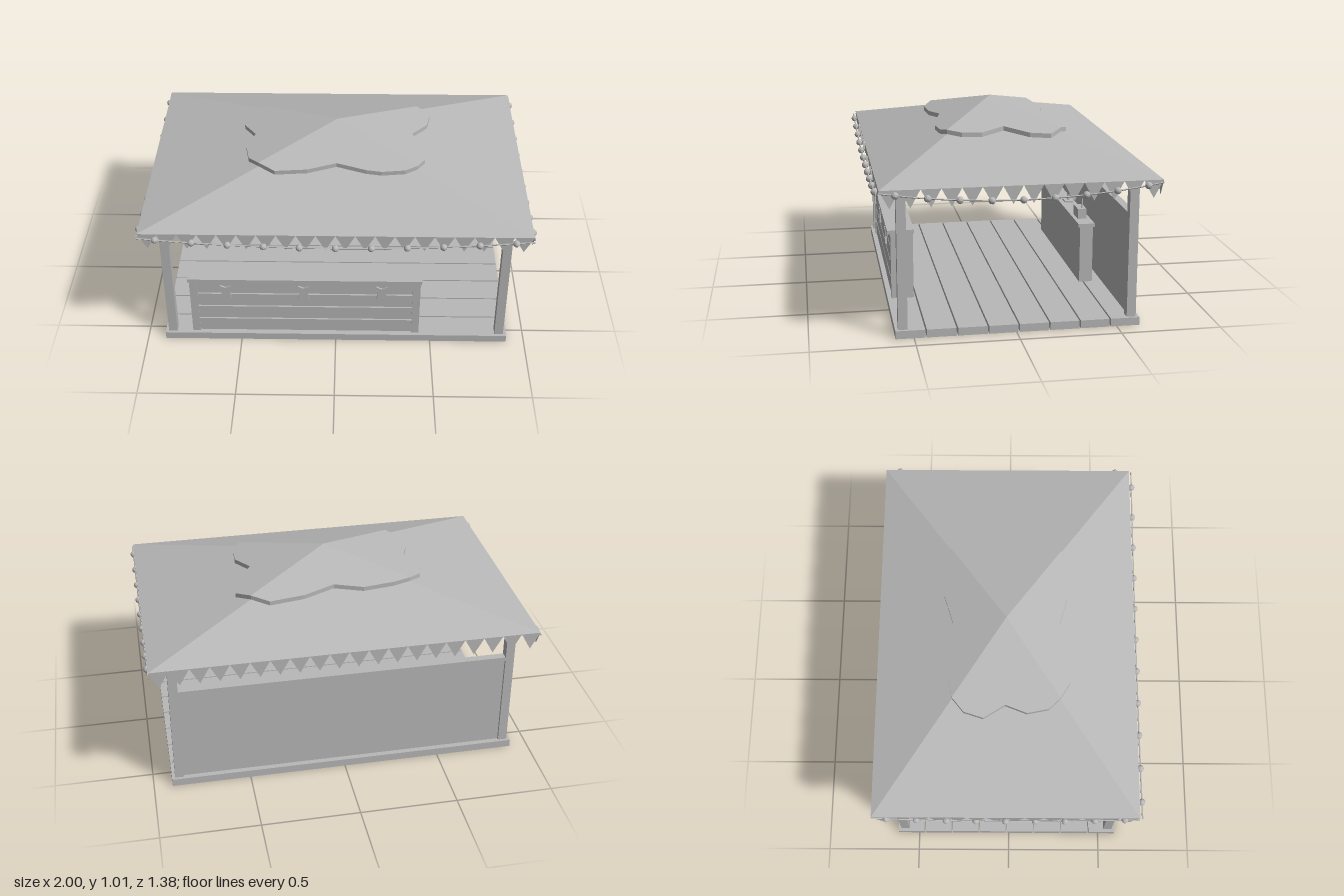
import * as THREE from 'three';

const grey = new THREE.MeshStandardMaterial({ color: 0xb8b8b8, flatShading: true, side: THREE.DoubleSide });
grey.name = 'plain grey';

// Roof dimensions: eaves rectangle and apex
const HX = 0.98, HZ = 0.675, CZ = -0.015, EAVE = 0.755, PEAK = 0.987;
const roofY = (x, z) => PEAK - (PEAK - EAVE) * Math.max(Math.abs(x) / HX, Math.abs(z - CZ) / HZ);

function add(parent, name, geometry, x = 0, y = 0, z = 0) {
  const mesh = new THREE.Mesh(geometry, grey);
  mesh.name = name;
  mesh.position.set(x, y, z);
  parent.add(mesh);
  return mesh;
}

// Box given by its limits on each axis
function box(parent, name, [x0, x1], [y0, y1], [z0, z1]) {
  return add(parent, name, new THREE.BoxGeometry(x1 - x0, y1 - y0, z1 - z0),
    (x0 + x1) / 2, (y0 + y1) / 2, (z0 + z1) / 2);
}

function group(parent, name) {
  const g = new THREE.Group();
  g.name = name;
  parent.add(g);
  return g;
}

function triangles(points) {
  const geo = new THREE.BufferGeometry();
  geo.setAttribute('position', new THREE.Float32BufferAttribute(points.flat(), 3));
  geo.computeVertexNormals();
  return geo;
}

function buildRoof(parent) {
  const roof = group(parent, 'roof');
  const corners = [[HX, CZ + HZ], [HX, CZ - HZ], [-HX, CZ - HZ], [-HX, CZ + HZ]];
  const faces = [];
  corners.forEach(([x, z], i) => {
    const [u, w] = corners[(i + 1) % 4];
    faces.push([x, EAVE, z], [u, EAVE, w], [0, PEAK, CZ]);
  });
  add(roof, 'roofSlopes', triangles(faces));

  // Wavy cap lying over the peak, with a thin rim
  const outline = [
    [0, -0.29], [-0.15, -0.325], [-0.31, -0.31], [-0.4, -0.29], [-0.47, -0.23], [-0.5, -0.13],
    [-0.435, -0.02], [-0.475, 0.09], [-0.455, 0.2], [-0.4, 0.261], [-0.315, 0.31], [-0.15, 0.3],
    [0, 0.26], [0.15, 0.3], [0.23, 0.31], [0.35, 0.3], [0.415, 0.271], [0.455, 0.2], [0.46, 0.1],
    [0.395, -0.02], [0.48, -0.14], [0.5, -0.245], [0.43, -0.311], [0.34, -0.36], [0.16, -0.34]];
  const lift = 0.023, cap = [];
  outline.forEach(([x, z], i) => {
    const [u, w] = outline[(i + 1) % outline.length];
    const a = roofY(x, z), b = roofY(u, w);
    cap.push([0, PEAK + lift, CZ], [x, a + lift, z], [u, b + lift, w]);
    cap.push([x, a + lift, z], [x, a, z], [u, b, w]);
    cap.push([x, a + lift, z], [u, b, w], [u, b + lift, w]);
  });
  add(roof, 'roofCap', triangles(cap));
}

// Row of hanging pennants between two eave corners
function buildBunting(parent, from, to, count) {
  const pts = [];
  const at = (t, y) => [from[0] + (to[0] - from[0]) * t, y, from[1] + (to[1] - from[1]) * t];
  for (let i = 0; i < count; i++) {
    pts.push(at(i / count, EAVE), at((i + 0.5) / count, 0.667), at((i + 1) / count, EAVE));
  }
  add(parent, 'bunting', triangles(pts));
}

// Sagging wire with round bulbs; place(s) maps distance along the run to x and z
function buildLights(parent, half, count, pitch, low, sag, place) {
  const g = group(parent, 'lightString');
  const point = s => {
    const [x, z] = place(s);
    return new THREE.Vector3(x, low + sag * (s / half) ** 2, z);
  };
  const path = [];
  for (let i = 0; i <= 16; i++) path.push(point(half * (i / 8 - 1)));
  add(g, 'wire', new THREE.TubeGeometry(new THREE.CatmullRomCurve3(path), 32, 0.004, 5));
  const bulb = new THREE.IcosahedronGeometry(0.018, 1);
  for (let i = 0; i < count; i++) {
    add(g, 'bulb', bulb).position.copy(point((i - (count - 1) / 2) * pitch));
  }
}

function buildCounter(parent) {
  const g = group(parent, 'frontCounter');
  box(g, 'sidePanel', [-0.76, -0.72], [0.04, 0.386], [0.455, 0.57]);
  box(g, 'sidePanel', [0.4, 0.44], [0.04, 0.386], [0.455, 0.57]);
  box(g, 'core', [-0.72, 0.4], [0.04, 0.38], [0.47, 0.555]);
  for (let i = 0; i < 4; i++) {
    const y = 0.045 + i * 0.085;
    box(g, 'board', [-0.72, 0.4], [y, y + 0.077], [0.46, 0.565]);
  }
  box(g, 'counterTop', [-0.765, 0.445], [0.386, 0.405], [0.448, 0.587]);

  // Notched ribbon tags on the front
  const tag = new THREE.Shape([[-0.028, 0.04], [-0.021, 0], [-0.028, -0.042], [0, -0.027],
    [0.028, -0.042], [0.021, 0], [0.028, 0.04], [0, 0.027]].map(p => new THREE.Vector2(...p)));
  const tagGeo = new THREE.ExtrudeGeometry(tag, { depth: 0.009, bevelEnabled: false });
  for (const x of [-0.57, -0.165, 0.24]) add(g, 'ribbonTag', tagGeo, x, 0.322, 0.575);
}

function buildBackCounter(parent) {
  const g = group(parent, 'backCounter');
  box(g, 'cabinet', [-0.66, 0.34], [0.04, 0.346], [-0.515, -0.445]);
  box(g, 'cabinetTop', [-0.67, 0.35], [0.346, 0.365], [-0.522, -0.434]);
  // Display on a small stand
  box(g, 'displayBase', [-0.155, -0.085], [0.365, 0.373], [-0.505, -0.46]);
  box(g, 'displayStand', [-0.128, -0.112], [0.373, 0.42], [-0.49, -0.48]);
  box(g, 'displayScreen', [-0.19, -0.05], [0.415, 0.515], [-0.495, -0.476]);
  // Small box with an aerial
  box(g, 'radio', [0.15, 0.25], [0.365, 0.42], [-0.5, -0.453]);
  add(g, 'aerial', new THREE.CylinderGeometry(0.003, 0.003, 0.055, 6), 0.235, 0.446, -0.48);
}

export function createModel() {
  const model = new THREE.Group();
  model.name = 'marketStall';

  // Plank floor
  const floor = group(model, 'floor');
  for (let i = 0; i < 8; i++) {
    const z = 0.59 - i * 0.1516;
    box(floor, 'floorPlank', [-0.905, 0.905], [0, 0.04], [z - 0.144, z]);
  }

  // Corner posts
  for (const x of [-0.866, 0.866]) for (const z of [0.552, -0.577]) {
    box(model, 'post', [x - 0.023, x + 0.023], [0.04, 0.765], [z - 0.023, z + 0.023]);
  }

  // Back wall with top rail
  box(model, 'backWall', [-0.845, 0.845], [0.04, 0.545], [-0.587, -0.567]);
  box(model, 'wallRail', [-0.845, 0.845], [0.542, 0.564], [-0.597, -0.557]);

  buildCounter(model);
  buildBackCounter(model);
  buildRoof(model);

  const front = CZ + HZ, back = CZ - HZ;
  buildBunting(model, [-HX, front], [HX, front], 20);
  buildBunting(model, [HX, back], [-HX, back], 20);
  buildBunting(model, [HX, front], [HX, back], 14);
  buildBunting(model, [-HX, back], [-HX, front], 14);

  // Light strings along the front and both sides
  buildLights(model, HX, 11, 0.178, 0.688, 0.05, s => [s, 0.673]);
  for (const side of [-1, 1]) {
    buildLights(model, HZ, 9, 0.15, 0.686, 0.056, s => [side * 0.982, CZ + s]);
  }
  return model;
}
